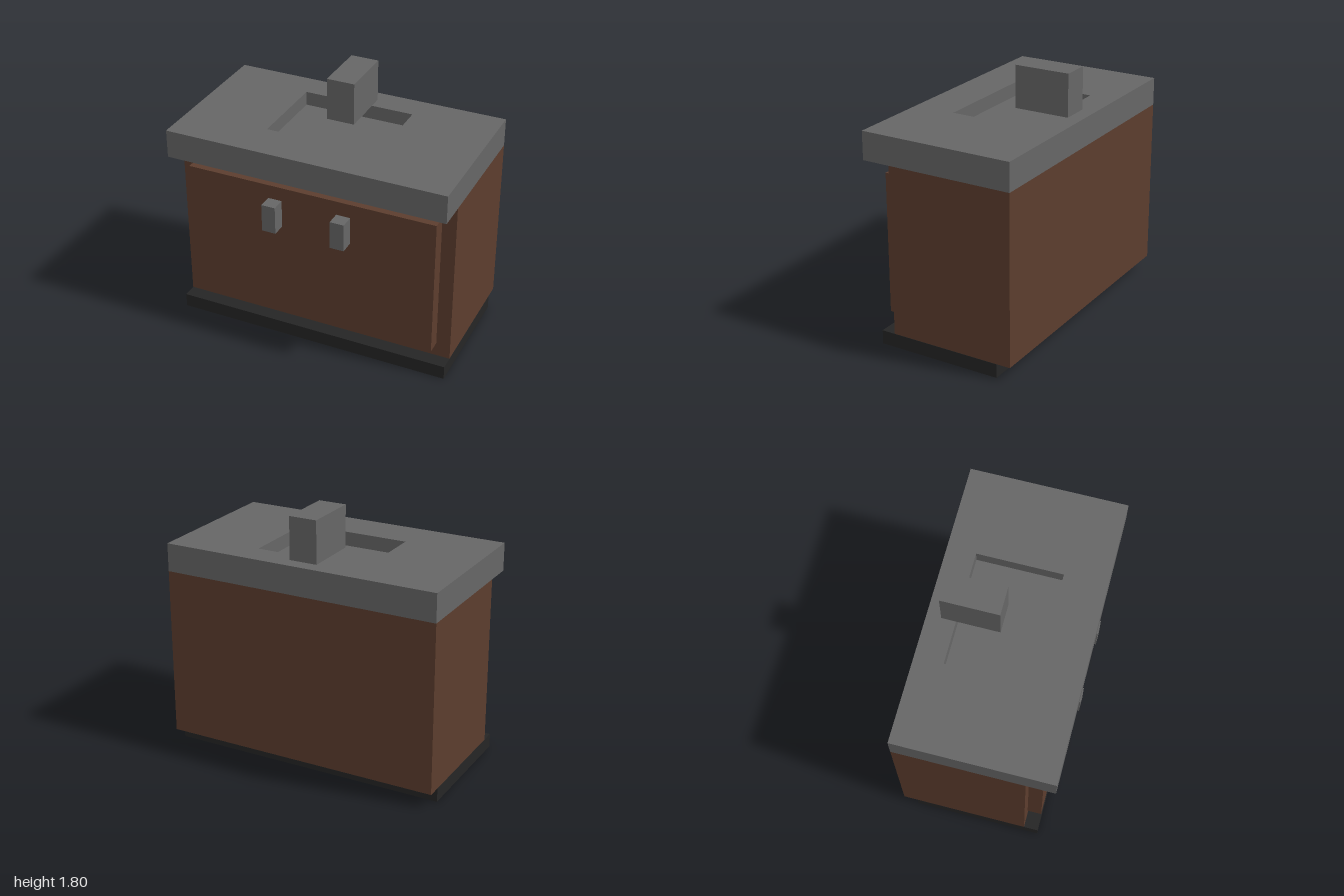
import * as THREE from 'three';

const stone = new THREE.MeshStandardMaterial({ color: 0x666666 });
stone.name = 'grey stone';
const wood = new THREE.MeshStandardMaterial({ color: 0x5c3d2e });
wood.name = 'brown wood';
const plinthBlack = new THREE.MeshStandardMaterial({ color: 0x252525, side: THREE.DoubleSide });
plinthBlack.name = 'plinth black';

// Box given by its low and high corners
function box(name, material, [x0, y0, z0], [x1, y1, z1]) {
  const mesh = new THREE.Mesh(new THREE.BoxGeometry(x1 - x0, y1 - y0, z1 - z0), material);
  mesh.position.set((x0 + x1) / 2, (y0 + y1) / 2, (z0 + z1) / 2);
  mesh.name = name;
  return mesh;
}

// Rectangle traced on any path
function rect(path, x0, y0, x1, y1) {
  path.moveTo(x0, y0);
  path.lineTo(x1, y0);
  path.lineTo(x1, y1);
  path.lineTo(x0, y1);
  path.closePath();
  return path;
}

export function createModel() {
  const model = new THREE.Group();
  model.name = 'sinkCabinet';

  // Plinth: hollow, open underneath; its top sits just below the cabinet floor
  const plinth = box('plinth', plinthBlack, [-1, 0, -0.45], [1, 0.099, 0.45]);
  const index = Array.from(plinth.geometry.index.array);
  index.splice(18, 6); // drop the bottom face
  plinth.geometry.setIndex(index);
  plinth.geometry.clearGroups();
  model.add(plinth);

  // Cabinet and front panel
  model.add(box('cabinet', wood, [-1, 0.1, -0.55], [1, 1.3, 0.35]));
  model.add(box('doorPanel', wood, [-0.9, 0.2, 0.35], [0.9, 1.2, 0.45]));

  // Handles
  for (const [name, x] of [['rightHandle', -0.25], ['leftHandle', 0.25]]) {
    model.add(box(name, stone, [x - 0.05, 0.9, 0.45], [x + 0.05, 1.1, 0.55]));
  }

  // Countertop with the basin opening
  const slab = rect(new THREE.Shape(), -1, -0.55, 1, 0.55);
  slab.holes.push(rect(new THREE.Path(), -0.4, -0.25, 0.4, 0.35));
  const slabGeometry = new THREE.ExtrudeGeometry(slab, { depth: 0.2, bevelEnabled: false });
  slabGeometry.rotateX(-Math.PI / 2).translate(0, 1.3, 0);
  const countertop = new THREE.Mesh(slabGeometry, stone);
  countertop.name = 'countertop';
  model.add(countertop);

  // Basin floor and tap block
  model.add(box('basinFloor', stone, [-0.4, 1.3, -0.35], [0.4, 1.4, 0.25]));
  model.add(box('tap', stone, [-0.1, 1.5, -0.45], [0.1, 1.8, -0.05]));

  return model;
}
